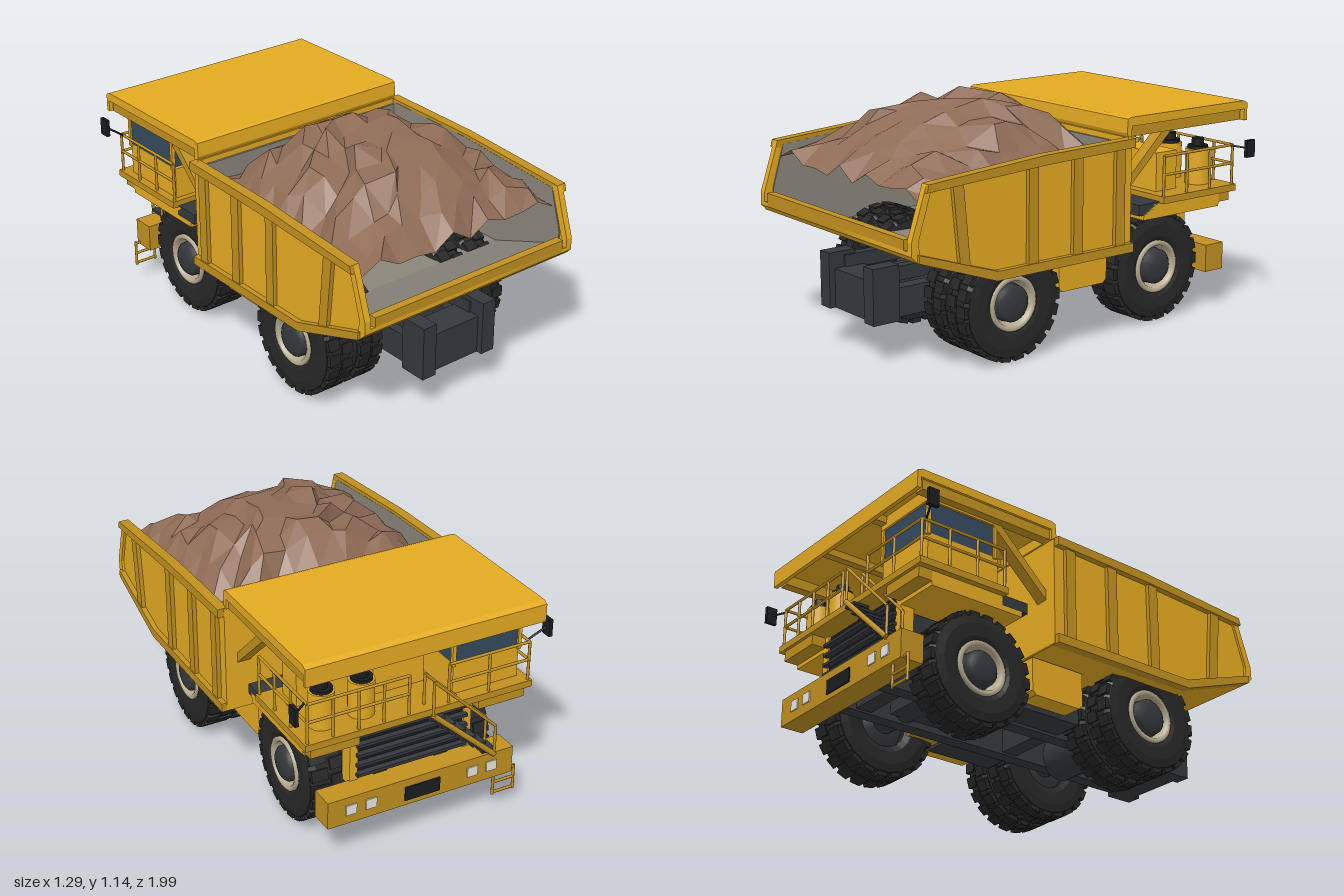
import * as THREE from 'three';

const mat = (color, extra = {}) => new THREE.MeshStandardMaterial({ color, ...extra });
const yellow = mat(0xe3aa22), trim = mat(0xc0901f), dark = mat(0x35383c), rubber = mat(0x272727, { flatShading: true }), black = mat(0x1b1c1e);
const liner = mat(0x8a857b), rimMat = mat(0xb5aa90, { side: THREE.DoubleSide }), glass = mat(0x34495e), white = mat(0xe8e6df);
const soil = mat(0x8f6c57, { flatShading: true, side: THREE.DoubleSide });

export function createModel() {
  const root = new THREE.Group();
  const add = (name, geo, material, parent = root) => {
    const m = new THREE.Mesh(geo, material);
    m.name = name;
    parent.add(m);
    return m;
  };
  // Box from its limits on each axis
  const box = (name, material, x0, x1, y0, y1, z0, z1) =>
    add(name, new THREE.BoxGeometry(x1 - x0, y1 - y0, z1 - z0).translate((x0 + x1) / 2, (y0 + y1) / 2, (z0 + z1) / 2), material);
  // Side profile of (z, y) points, extruded from x0 to x1
  const prof = (name, material, pts, x0, x1) => {
    const s = new THREE.Shape(pts.map(p => new THREE.Vector2(...p)));
    const g = new THREE.ExtrudeGeometry(s, { depth: x1 - x0, bevelEnabled: false });
    add(name, g.rotateY(-Math.PI / 2).translate(x1, 0, 0), material);
  };
  // The same part on both sides of the truck
  const profPair = (name, material, pts, x0, x1) => {
    prof(name, material, pts, x0, x1);
    prof(name, material, pts, -x1, -x0);
  };
  const boxPair = (name, material, x0, x1, ...rest) => {
    box(name, material, x0, x1, ...rest);
    box(name, material, -x1, -x0, ...rest);
  };
  // Round bar between two points
  const bar = (name, material, a, b, r = 0.007) => {
    const p = new THREE.Vector3(...a), q = new THREE.Vector3(...b), d = q.clone().sub(p);
    const m = add(name, new THREE.CylinderGeometry(r, r, d.length(), r > 0.02 ? 20 : 8), material);
    m.position.copy(p).add(q).multiplyScalar(0.5);
    m.quaternion.setFromUnitVectors(new THREE.Vector3(0, 1, 0), d.normalize());
  };

  // Dump body: floor, side walls, front wall and grey lining
  prof('bodyFloor', yellow, [[-0.23, 0.425], [0.56, 0.425], [0.97, 0.57], [1, 0.6], [1, 0.62], [0.96, 0.61], [0.55, 0.46], [-0.23, 0.46]], -0.58, 0.58);
  prof('floorLining', liner, [[-0.21, 0.455], [0.55, 0.455], [0.965, 0.61], [0.955, 0.625], [0.55, 0.475], [-0.21, 0.475]], -0.58, 0.58);
  profPair('bodySide', yellow, [[-0.23, 0.43], [0.56, 0.43], [0.97, 0.57], [1, 0.6], [1, 0.66], [0.92, 0.89], [0.3, 0.94], [-0.23, 0.95]], 0.585, 0.6);
  profPair('sideLining', liner, [[-0.21, 0.45], [0.55, 0.45], [0.95, 0.6], [0.95, 0.68], [0.89, 0.88], [0.3, 0.93], [-0.21, 0.94]], 0.579, 0.585);
  profPair('topRail', trim, [[0.93, 0.865], [0.92, 0.9], [0.3, 0.945], [-0.23, 0.957], [-0.23, 0.915], [0.3, 0.9]], 0.58, 0.63);
  profPair('bottomRail', trim, [[-0.23, 0.425], [0.56, 0.425], [0.97, 0.57], [0.97, 0.607], [0.555, 0.468], [-0.23, 0.468]], 0.575, 0.625);
  profPair('rearEdge', yellow, [[0.97, 0.57], [1, 0.6], [1, 0.66], [0.92, 0.9], [0.89, 0.89], [0.965, 0.655], [0.955, 0.6]], 0.58, 0.612);
  for (const z of [0.355, 0.1, -0.15]) boxPair('sideRib', trim, 0.59, 0.62, 0.45, 0.93, z - 0.027, z + 0.027);
  profPair('sideRib', trim, [[0.755, 0.53], [0.79, 0.88], [0.735, 0.885], [0.7, 0.51]], 0.59, 0.62);
  box('frontWall', yellow, -0.6, 0.6, 0.43, 0.957, -0.232, -0.21);
  box('frontLining', liner, -0.58, 0.58, 0.45, 0.93, -0.21, -0.2);
  box('tailBar', trim, -0.555, 0.555, 0.6, 0.665, 0.96, 1);

  // Canopy over the cab with lips, beams and braces
  prof('canopy', yellow, [[-0.22, 0.955], [-0.21, 0.975], [-0.215, 1.04], [-0.235, 1.047], [-0.96, 1.047], [-0.985, 1.035], [-0.985, 0.95],
    [-0.965, 0.95], [-0.965, 1.005], [-0.24, 1.005], [-0.24, 0.955]], -0.592, 0.592);
  boxPair('canopyBeam', trim, 0.53, 0.58, 0.955, 1.01, -0.95, -0.22);
  boxPair('canopyBeam', trim, 0.18, 0.22, 0.97, 1.01, -0.95, -0.22);
  profPair('canopyBrace', trim, [[-0.22, 0.655], [-0.22, 0.705], [-0.49, 0.96], [-0.55, 0.96]], 0.48, 0.54);

  // Heap of earth on a jittered grid
  let seed = 11;
  const rnd = () => (seed = (seed * 16807) % 2147483647) / 2147483647 - 0.5;
  let heap = new THREE.PlaneGeometry(1.13, 1.12, 11, 11).rotateX(-Math.PI / 2);
  const hp = heap.attributes.position;
  for (let i = 0; i < hp.count; i++) {
    const x = hp.getX(i), z = hp.getZ(i);
    const inside = Math.abs(x) < 0.55 && Math.abs(z) < 0.55;
    const u = Math.abs(x / 0.565), v = Math.min(1, z > -0.12 ? ((z + 0.12) / 0.68) ** 2.4 : (Math.abs(z + 0.12) / 0.44) ** 2.2);
    const y = 0.84 + 0.28 * (1 - u ** 2.4) * (1 - v) + rnd() * 0.08;
    hp.setXYZ(i, x + (inside ? rnd() * 0.06 : 0), y, z + 0.36 + (inside ? rnd() * 0.06 : 0));
  }
  heap = heap.toNonIndexed();
  heap.computeVertexNormals();
  add('earthLoad', heap, soil);

  // Wheels: lathed tyre with shallow lugs, pale rim and domed hub; axis runs along x
  const wheel = (name, x, z, w, side, hub) => {
    const g = new THREE.Group(), h = w / 2;
    g.name = name;
    const lathe = (n, pts, m, seg) =>
      add(n, new THREE.LatheGeometry(pts.map(p => new THREE.Vector2(...p)), seg).rotateZ(-Math.PI / 2), m, g);
    lathe('tyre', [[0.12, -h * 0.8], [0.15, -h * 0.96], [0.21, -h], [0.248, -h * 0.9], [0.264, -h * 0.6], [0.264, h * 0.6],
      [0.248, h * 0.9], [0.21, h], [0.15, h * 0.96], [0.12, h * 0.8], [0.12, -h * 0.8]], rubber, 22);
    for (let i = 0; i < 22; i++) for (const s of [-1, 1]) {
      const a = ((i + (s > 0 ? 0.5 : 0)) / 22) * Math.PI * 2;
      add('treadLug', new THREE.BoxGeometry(h * 0.8, 0.03, 0.052).translate(s * h * 0.47, 0.254, 0).rotateX(a), rubber, g);
    }
    lathe('rim', [[0.128, h * 0.6], [0.128, h * 0.96], [0.118, h * 1.02], [0.105, h * 0.95], [0.1, h * 0.7], [0.085, h * 0.3]], rimMat, 32);
    lathe('rimDisc', [[0, -h * 0.5], [0.125, -h * 0.5], [0.125, h * 0.4], [0, h * 0.4]], dark, 28);
    if (hub) lathe('hub', [[0.088, h * 0.3], [0.085, h * 0.9], [0.07, h * 1.06], [0.04, h * 1.14], [0, h * 1.16]], dark, 24);
    g.position.set(x * side, 0.27, z);
    if (side < 0) g.rotation.y = Math.PI;
    root.add(g);
  };
  for (const s of [1, -1]) {
    wheel('frontWheel', 0.37, -0.53, 0.2, s, true);
    wheel('rearOuterWheel', 0.458, 0.395, 0.15, s, true);
    wheel('rearInnerWheel', 0.287, 0.395, 0.15, s, false);
  }
  for (const z of [0.395, -0.53]) bar('axle', dark, [-0.29, 0.27, z], [0.29, 0.27, z], 0.06);
  bar('differential', dark, [-0.13, 0.262, 0.395], [0.13, 0.262, 0.395], 0.107);

  // Chassis rails, cross members and tail
  boxPair('chassisRail', dark, 0.12, 0.19, 0.2, 0.335, -0.86, 0.85);
  boxPair('upperRail', dark, 0.13, 0.18, 0.365, 0.43, -0.3, 0.85);
  boxPair('tailBlock', dark, 0.14, 0.215, 0.19, 0.45, 0.79, 0.93);
  box('tailCross', dark, -0.15, 0.15, 0.19, 0.375, 0.75, 0.9);
  box('hoistBeam', yellow, -0.13, 0.13, 0.38, 0.425, 0.02, 0.1);
  for (const z of [0.08, -0.22, -0.75]) box('crossMember', dark, -0.14, 0.14, 0.21, 0.32, z - 0.04, z + 0.04);
  box('gearbox', dark, -0.1, 0.1, 0.22, 0.4, -0.62, -0.3);
  boxPair('tankBracket', dark, 0.18, 0.34, 0.215, 0.42, -0.24, 0.12);
  profPair('sideTank', yellow, [[-0.21, 0.24], [0.04, 0.24], [0.06, 0.26], [0.06, 0.42], [-0.23, 0.42], [-0.23, 0.26]], 0.28, 0.44);
  boxPair('steeringArm', trim, 0.2, 0.3, 0.23, 0.29, -0.4, -0.24);

  // Nose, grille, fenders and deck
  box('engineBay', dark, -0.26, 0.26, 0.34, 0.6, -0.78, -0.34);
  boxPair('noseSide', yellow, 0.27, 0.31, 0.3, 0.6, -0.86, -0.79);
  box('grilleBack', black, -0.28, 0.28, 0.3, 0.6, -0.85, -0.79);
  for (let i = 0; i < 5; i++) box('grilleSlat', dark, -0.28, 0.28, 0.345 + i * 0.05, 0.36 + i * 0.05, -0.88, -0.84);
  boxPair('fender', yellow, 0.27, 0.54, 0.535, 0.607, -0.86, -0.37);
  boxPair('deckBracket', trim, 0.3, 0.54, 0.555, 0.607, -0.93, -0.86);
  boxPair('fenderPad', dark, 0.3, 0.54, 0.56, 0.612, -0.48, -0.34);
  box('deck', trim, -0.57, 0.57, 0.605, 0.638, -0.945, -0.47);

  // Bumper with lamps and boarding ladder
  box('bumper', trim, -0.475, 0.475, 0.19, 0.325, -0.965, -0.85);
  box('bumperPlate', black, -0.09, 0.09, 0.215, 0.285, -0.97, -0.96);
  for (const x of [0.26, 0.36]) boxPair('headlamp', white, x - 0.027, x + 0.027, 0.235, 0.285, -0.971, -0.96);
  for (const x of [-0.5, -0.39]) bar('ladderSide', trim, [x, 0.08, -0.945], [x, 0.21, -0.945]);
  for (const y of [0.09, 0.145, 0.2]) bar('ladderRung', trim, [-0.5, y, -0.945], [-0.39, y, -0.945]);

  // Stairs across the grille
  for (const z of [-0.97, -0.89]) {
    bar('stairString', trim, [-0.04, 0.62, z], [-0.37, 0.32, z], 0.013);
    bar('stairRail', trim, [-0.04, 0.79, z], [-0.37, 0.47, z]);
    bar('stairPost', trim, [-0.37, 0.32, z], [-0.37, 0.47, z]);
    bar('stairPost', trim, [-0.04, 0.62, z], [-0.04, 0.79, z]);
  }
  for (let i = 0; i < 6; i++) {
    const t = (i + 0.5) / 6, x = -0.04 - 0.33 * t, y = 0.62 - 0.3 * t;
    box('stairTread', dark, x - 0.035, x + 0.035, y - 0.006, y + 0.006, -0.97, -0.89);
  }

  // Cab with window band
  box('cab', yellow, -0.53, -0.19, 0.63, 0.79, -0.88, -0.5);
  box('cabGlass', glass, -0.53, -0.19, 0.79, 0.95, -0.88, -0.52);
  box('cabRoof', yellow, -0.54, -0.18, 0.945, 1.01, -0.89, -0.5);
  for (const x of [-0.53, -0.19]) for (const z of [-0.88, -0.52]) box('cabPillar', yellow, x - 0.009, x + 0.009, 0.78, 0.95, z - 0.009, z + 0.009);

  // Deck lockers and air cleaners
  box('locker', yellow, 0.2, 0.46, 0.635, 0.825, -0.65, -0.52);
  box('locker', yellow, -0.14, 0.12, 0.635, 0.825, -0.72, -0.55);
  for (const x of [0.235, 0.43]) {
    bar('airCleaner', yellow, [x, 0.635, -0.82], [x, 0.81, -0.82], 0.06);
    bar('airCleanerNeck', black, [x, 0.8, -0.82], [x, 0.86, -0.82], 0.03);
    bar('airCleanerCap', black, [x, 0.805, -0.82], [x, 0.825, -0.82], 0.05);
  }

  // Railings
  const rail = (a, b, posts) => {
    for (const y of [0.74, 0.83]) bar('handrail', trim, [a[0], y, a[1]], [b[0], y, b[1]]);
    for (let i = 0; i <= posts; i++) {
      const x = a[0] + (b[0] - a[0]) * i / posts, z = a[1] + (b[1] - a[1]) * i / posts;
      bar('railPost', trim, [x, 0.63, z], [x, 0.83, z]);
    }
  };
  for (const s of [1, -1]) rail([0.555 * s, -0.48], [0.555 * s, -0.93], 3);
  rail([0.555, -0.93], [0.06, -0.93], 4);
  rail([-0.14, -0.93], [-0.555, -0.93], 2);

  // Mirrors on arms
  for (const [x, y, z] of [[0.635, 0.82, -0.965], [-0.64, 0.89, -0.935]]) {
    box('mirror', black, x - 0.009, x + 0.009, y - 0.042, y + 0.042, z - 0.027, z + 0.027);
    bar('mirrorArm', black, [Math.sign(x) * 0.555, 0.83, -0.91], [x, y, z], 0.005);
  }
  return root;
}
